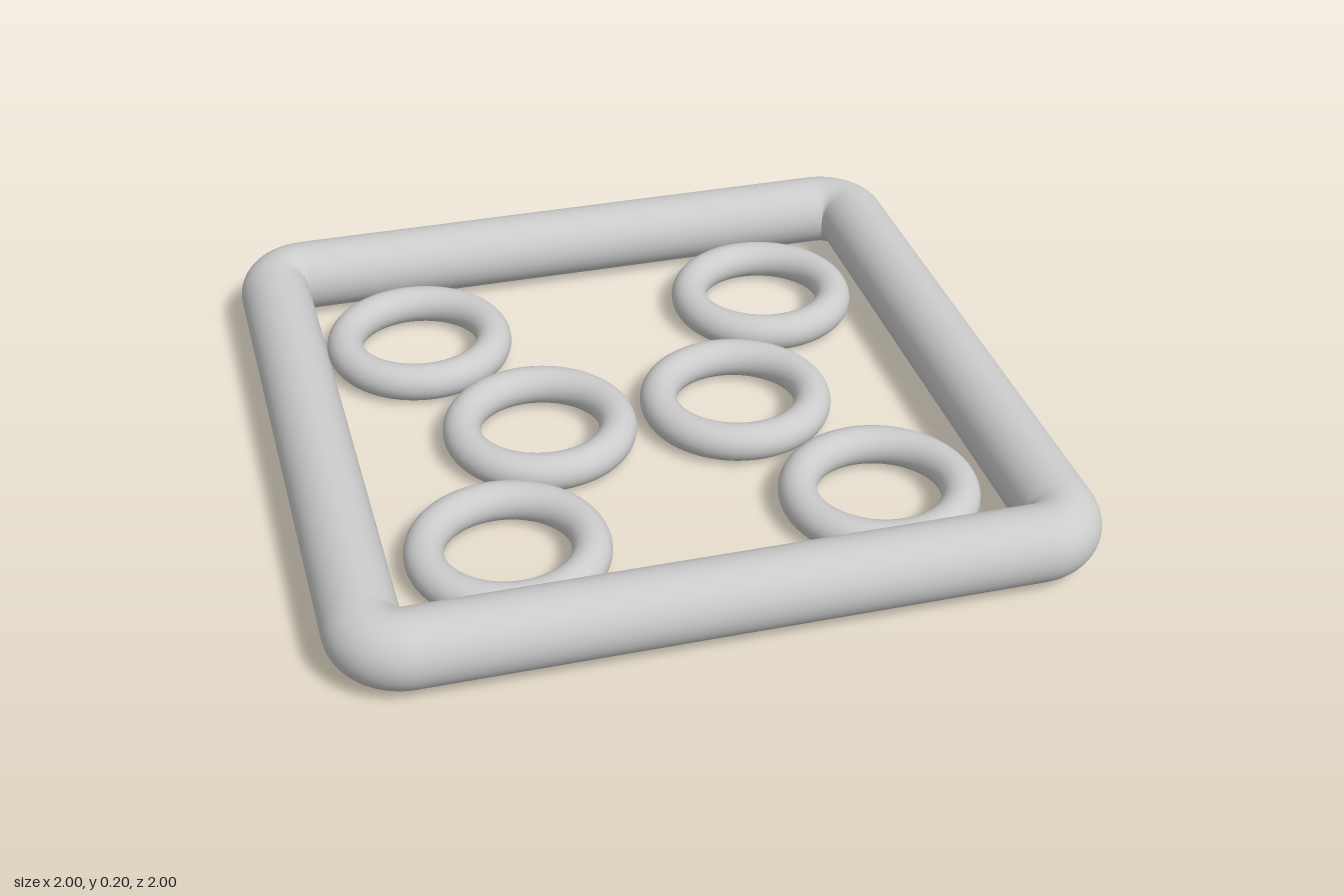
import * as THREE from 'three';

const FRAME_R = 0.1;   // frame tube radius
const FRAME_Y = 0.104; // frame centre height
const CORNER = 0.8;    // centre of each corner bend
const RING_R = 0.215, RING_TUBE = 0.052;

export function createModel() {
  const model = new THREE.Group();
  const material = new THREE.MeshStandardMaterial({ color: 0xcccccc });
  const add = (parent, name, geometry) => {
    const mesh = new THREE.Mesh(geometry, material);
    mesh.name = name;
    parent.add(mesh);
    return mesh;
  };

  // Square tube frame: four straight rails joined by quarter-turn bends
  const frame = new THREE.Group();
  frame.name = 'frame';
  frame.position.y = FRAME_Y;
  model.add(frame);
  const railGeo = new THREE.CylinderGeometry(FRAME_R, FRAME_R, 2 * CORNER, 48, 1, true)
    .rotateX(Math.PI / 2).translate(CORNER + FRAME_R, 0, 0);
  const bendGeo = new THREE.TorusGeometry(FRAME_R, FRAME_R, 48, 20, Math.PI / 2)
    .rotateX(Math.PI / 2).translate(CORNER, 0, CORNER);
  for (let i = 0; i < 4; i++) {
    add(frame, 'frameRail', railGeo).rotation.y = i * Math.PI / 2;
    add(frame, 'frameCorner', bendGeo).rotation.y = i * Math.PI / 2;
  }

  // Six loose rings lying on the ground inside the frame
  const ringGeo = new THREE.TorusGeometry(RING_R, RING_TUBE, 32, 72).rotateX(Math.PI / 2);
  const centres = [
    [-0.523, -0.523], [0.515, -0.523],
    [-0.282, -0.003], [0.278, -0.003],
    [-0.483, 0.517], [0.517, 0.517],
  ];
  for (const [x, z] of centres) add(model, 'ring', ringGeo).position.set(x, RING_TUBE, z);

  return model;
}
